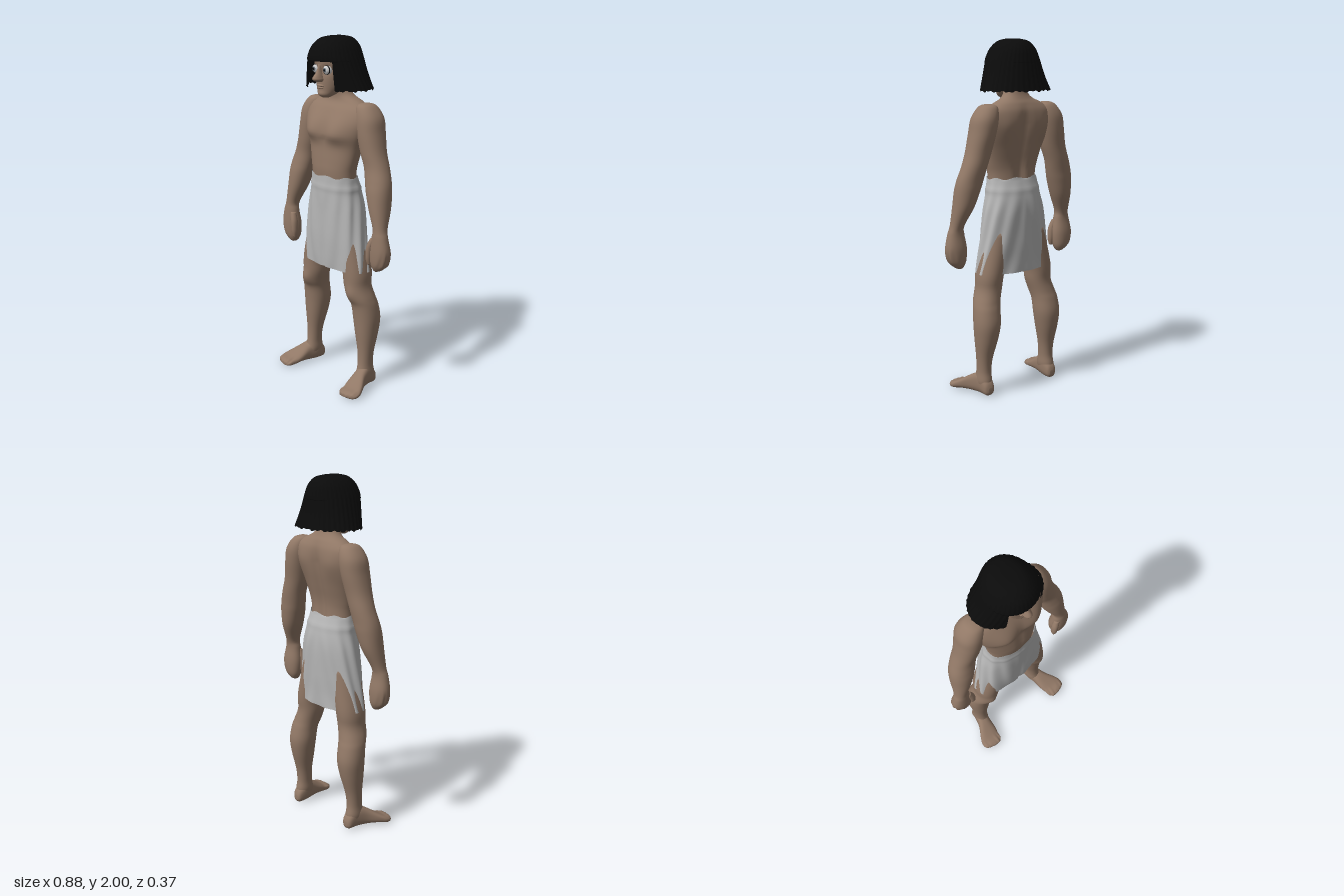
import * as THREE from 'three';

const mat = (name, color, side = THREE.FrontSide) => {
  const m = new THREE.MeshStandardMaterial({ color, side });
  m.name = name;
  return m;
};
const gauss = (d, w) => Math.exp(-((d / w) ** 2));

// Smooth interpolation of section rows at position s
function sample(rows, s) {
  const n = rows.length - 1, k = Math.min(Math.floor(s), n - 1), t = s - k;
  const a = rows[Math.max(k - 1, 0)], b = rows[k], c = rows[k + 1], d = rows[Math.min(k + 2, n)];
  return b.map((v, i) => v + 0.5 * t * (c[i] - a[i]
    + t * (2 * a[i] - 5 * v + 4 * c[i] - d[i] + t * (3 * (v - c[i]) + d[i] - a[i]))));
}

// Loft through sections [y, xMin, xMax, zMin, zMax]; angle 0 faces +z.
// bump(p, angle, t) reshapes points; open(t) leaves a gap at the front.
function loft(sections, { seg = 40, steps = 5, power = 2.2, cap = true, bump, open } = {}) {
  const rows = sections[0][0] > sections.at(-1)[0] ? [...sections].reverse() : sections;
  const count = (rows.length - 1) * steps, cols = open ? seg + 1 : seg;
  const pos = [], index = [], p = new THREE.Vector3();
  const round = (v) => Math.sign(v) * Math.abs(v) ** (2 / power);
  for (let j = 0; j <= count; j++) {
    const t = j / count, [y, x0, x1, z0, z1] = sample(rows, j / steps);
    const gap = open ? open(t) : 0;
    for (let i = 0; i < cols; i++) {
      const a = gap + (i / seg) * (2 * Math.PI - 2 * gap);
      p.set((x0 + x1) / 2 + round(Math.sin(a)) * (x1 - x0) / 2, y,
        (z0 + z1) / 2 + round(Math.cos(a)) * (z1 - z0) / 2);
      if (bump) bump(p, a, t);
      pos.push(p.x, p.y, p.z);
    }
  }
  for (let j = 0; j < count; j++) for (let i = 0; i < seg; i++) {
    const k = (i + 1) % cols, a = j * cols + i, b = j * cols + k;
    index.push(a, b, b + cols, a, b + cols, a + cols);
  }
  if (cap) for (const j of [0, count]) {
    const [y, x0, x1, z0, z1] = rows[j ? rows.length - 1 : 0], c = pos.length / 3;
    pos.push((x0 + x1) / 2, y, (z0 + z1) / 2);
    for (let i = 0; i < seg; i++) {
      const a = j * cols + i, b = j * cols + (i + 1) % cols;
      index.push(c, ...(j ? [a, b] : [b, a]));
    }
  }
  const g = new THREE.BufferGeometry();
  g.setAttribute('position', new THREE.Float32BufferAttribute(pos, 3));
  g.setIndex(index);
  g.computeVertexNormals();
  return g;
}

// Symmetric sections [y, halfWidth, zMin, zMax]
const even = (rows) => rows.map(([y, r, z0, z1]) => [y, -r, r, z0, z1]);

function mirrored(geo) {
  const g = geo.clone().scale(-1, 1, 1), ix = g.index.array;
  for (let i = 0; i < ix.length; i += 3) [ix[i], ix[i + 1]] = [ix[i + 1], ix[i]];
  return g;
}

const ball = (x, y, z, rx, ry, rz) => new THREE.SphereGeometry(1, 24, 16).scale(rx, ry, rz).translate(x, y, z);

export function createModel() {
  const group = new THREE.Group();
  const skin = mat('skin', 0x917866);
  const linen = mat('linen', 0xb6b6b6, THREE.DoubleSide);
  const black = mat('black hair', 0x0b0b0b, THREE.DoubleSide);
  const white = mat('eye white', 0xd0d0d0);
  const grey = mat('iris grey', 0x6c7680);
  const add = (name, geo, material) => {
    const m = new THREE.Mesh(geo, material);
    m.name = name;
    group.add(m);
  };
  const pair = (name, geo, material) => {
    add('left ' + name, geo, material);
    add('right ' + name, mirrored(geo), material);
  };

  // Torso and neck, with chest muscles, spine groove and shoulder blades
  add('torso', loft(even([
    [1.12, 0.145, -0.085, 0.085], [1.25, 0.15, -0.078, 0.098], [1.32, 0.164, -0.082, 0.096],
    [1.40, 0.185, -0.1, 0.09], [1.48, 0.215, -0.118, 0.088], [1.55, 0.235, -0.128, 0.075],
    [1.61, 0.222, -0.125, 0.05], [1.65, 0.165, -0.11, 0.025], [1.68, 0.1, -0.092, 0.02],
    [1.71, 0.073, -0.08, 0.025], [1.75, 0.066, -0.075, 0.035], [1.80, 0.06, -0.07, 0.035],
  ]), {
    seg: 72,
    bump: (p, a) => {
      const c = Math.cos(a), x = Math.abs(p.x);
      if (c > 0) {
        p.z += Math.min(1, c * 3) * 0.03 * gauss(x - 0.095, 0.08) * gauss(p.y - 1.48, p.y < 1.48 ? 0.045 : 0.09);
        if (p.y < 1.45) p.z -= 0.006 * gauss(x, 0.02);
      } else if (p.y < 1.66) {
        p.z += 0.02 * gauss(x, 0.03) * Math.min(1, (1.66 - p.y) * 8);
        p.z -= 0.008 * gauss(x - 0.12, 0.05) * gauss(p.y - 1.53, 0.07);
      }
    },
  }), skin);

  // Arms with loosely closed hands
  pair('arm', loft([
    [1.655, 0.185, 0.215, -0.06, -0.03], [1.64, 0.15, 0.25, -0.1, 0.008], [1.58, 0.15, 0.294, -0.125, 0.03],
    [1.50, 0.165, 0.31, -0.124, 0.035], [1.40, 0.19, 0.332, -0.11, 0.03], [1.32, 0.217, 0.36, -0.104, 0.025],
    [1.25, 0.236, 0.385, -0.096, 0.035], [1.19, 0.254, 0.396, -0.09, 0.045], [1.10, 0.287, 0.402, -0.072, 0.05],
    [1.0, 0.332, 0.41, -0.03, 0.05], [0.95, 0.328, 0.425, -0.022, 0.055], [0.87, 0.315, 0.441, -0.033, 0.06],
    [0.80, 0.32, 0.425, -0.03, 0.056], [0.765, 0.335, 0.39, -0.015, 0.042], [0.753, 0.347, 0.368, 0, 0.03],
  ], {
    bump: (p, a) => {
      // Finger grooves on the outside of the hand
      if (p.y < 0.88 && Math.sin(a) > 0) p.x -= 0.004 * Math.cos(p.z * 260) * gauss(p.y - 0.81, 0.05);
    },
  }), skin);
  pair('thumb', loft([
    [0.94, 0.325, 0.36, 0.02, 0.05], [0.89, 0.306, 0.345, 0.02, 0.062],
    [0.83, 0.302, 0.338, 0.022, 0.062], [0.79, 0.31, 0.332, 0.03, 0.052],
  ], { seg: 20 }), skin);

  // Legs with kneecap and calf
  pair('leg', loft([
    [0.95, 0.02, 0.19, -0.095, 0.08], [0.72, 0.09, 0.243, -0.098, 0.075], [0.62, 0.106, 0.25, -0.09, 0.07],
    [0.55, 0.125, 0.272, -0.1, 0.057], [0.50, 0.135, 0.284, -0.113, 0.04], [0.42, 0.14, 0.29, -0.125, 0.03],
    [0.33, 0.156, 0.283, -0.112, 0.024], [0.22, 0.18, 0.27, -0.083, 0.016], [0.14, 0.188, 0.266, -0.075, 0.018],
    [0.08, 0.187, 0.27, -0.084, 0.03], [0.03, 0.2, 0.26, -0.075, 0.03],
  ], {
    bump: (p, a) => {
      if (Math.cos(a) > 0) p.z += 0.014 * gauss(p.x - 0.19, 0.04) * gauss(p.y - 0.57, 0.045);
    },
  }), skin);

  // Feet run along z: [z, xMin, xMax, yMin, yMax]
  pair('foot', loft([
    [-0.097, 0.21, 0.24, 0.02, 0.05], [-0.082, 0.195, 0.26, 0.004, 0.085], [-0.03, 0.188, 0.27, 0.004, 0.13],
    [0.03, 0.2, 0.29, 0.006, 0.11], [0.09, 0.205, 0.328, 0.008, 0.072], [0.13, 0.215, 0.345, 0.002, 0.05],
    [0.165, 0.221, 0.335, 0.002, 0.04], [0.185, 0.238, 0.285, 0.01, 0.028],
  ].map(([z, x0, x1, y0, y1]) => [z, x0, x1, -y1, -y0]), {
    power: 2.5,
    bump: (p, a) => {
      // Toe ridges
      if (Math.cos(a) < 0) p.z += 0.003 * Math.cos((p.x - 0.235) * 240) * gauss(p.y - 0.165, 0.03);
    },
  }).rotateX(Math.PI / 2), skin);

  // Wrapped kilt, folds fanning out from the waist
  add('kilt', loft(even([
    [1.24, 0.155, -0.086, 0.103], [1.15, 0.168, -0.112, 0.105], [1.05, 0.19, -0.123, 0.106],
    [0.90, 0.214, -0.118, 0.106], [0.78, 0.234, -0.11, 0.1], [0.705, 0.246, -0.108, 0.094],
  ]), {
    seg: 120, steps: 8, cap: false,
    bump: (p, a, t) => {
      const around = Math.abs(Math.atan2(Math.sin(a), Math.cos(a)));
      const fold = 0.004 * Math.sin(around * 11 + (1 - t) * 7) * Math.min(1, (1 - t) * 2.5);
      const band = 0.004 * gauss(p.y - 1.175, 0.015);
      const push = 1 + (fold + band) / 0.15;
      p.x *= push;
      p.z *= push;
      if (Math.cos(a) > 0) p.z -= 0.007 * gauss(p.x, 0.012) * (1 - t);
      if (t === 1) p.y += 0.006 * Math.sin(a * 7);
    },
  }), linen);

  // Head
  add('head', loft(even([
    [1.675, 0.02, 0.055, 0.09], [1.69, 0.045, 0.02, 0.106], [1.72, 0.068, -0.04, 0.11],
    [1.76, 0.086, -0.09, 0.112], [1.81, 0.1, -0.115, 0.112], [1.86, 0.106, -0.125, 0.118],
    [1.92, 0.1, -0.12, 0.115], [1.965, 0.06, -0.08, 0.075],
  ]), {
    seg: 56,
    bump: (p, a) => {
      // Eye sockets and chin
      if (Math.cos(a) > 0) p.z += 0.006 * gauss(p.x, 0.03) * gauss(p.y - 1.695, 0.015)
        - 0.012 * gauss(Math.abs(p.x) - 0.045, 0.025) * gauss(p.y - 1.828, 0.022);
    },
  }), skin);
  add('nose', loft(even([
    [1.855, 0.012, 0.08, 0.122], [1.82, 0.013, 0.08, 0.134], [1.79, 0.021, 0.08, 0.158],
    [1.775, 0.025, 0.08, 0.16], [1.762, 0.015, 0.08, 0.135],
  ]), { seg: 24 }), skin);
  add('upper lip', ball(0, 1.742, 0.108, 0.028, 0.007, 0.012), skin);
  add('lower lip', ball(0, 1.729, 0.107, 0.023, 0.007, 0.012), skin);
  pair('ear', ball(0.105, 1.8, -0.015, 0.012, 0.035, 0.022), skin);

  // Eyes: ball, iris and pupil caps, dark rim
  const eyeCap = (r, angle) => new THREE.SphereGeometry(r, 24, 6, 0, Math.PI * 2, 0, angle)
    .rotateX(Math.PI / 2).translate(0.044, 1.828, 0.095);
  pair('eyeball', eyeCap(0.026, Math.PI), white);
  pair('iris', eyeCap(0.0266, 0.5), grey);
  pair('pupil', eyeCap(0.0272, 0.28), black);
  pair('eye rim', new THREE.TorusGeometry(0.025, 0.003, 8, 28).scale(1, 0.9, 1).translate(0.044, 1.828, 0.104), black);

  // Hair: crown with fringe, then a flared curtain open at the face
  const strands = (p, a) => {
    const k = 1 + 0.008 * Math.sin(a * 38) * Math.min(1, (2 - p.y) * 12);
    p.x *= k;
    p.z *= k;
  };
  add('hair crown', loft(even([
    [2.0, 0.03, -0.05, 0.045], [1.987, 0.075, -0.105, 0.095], [1.95, 0.113, -0.138, 0.135],
    [1.905, 0.137, -0.15, 0.152], [1.875, 0.149, -0.155, 0.154],
  ]), {
    seg: 160, power: 2.1,
    // The lower cap closes the fringe over the brow
    bump: strands,
  }), black);
  add('hair curtain', loft(even([
    [1.885, 0.146, -0.153, 0.152], [1.80, 0.177, -0.166, 0.14], [1.722, 0.21, -0.184, 0.125],
  ]), {
    seg: 160, steps: 8, power: 2.1, cap: false,
    open: (t) => 0.52 + 0.22 * t,
    bump: (p, a, t) => {
      strands(p, a);
      if (t === 0) p.y += 0.006 * Math.sin(a * 23) * Math.sin(a * 9);
    },
  }), black);
  return group;
}
